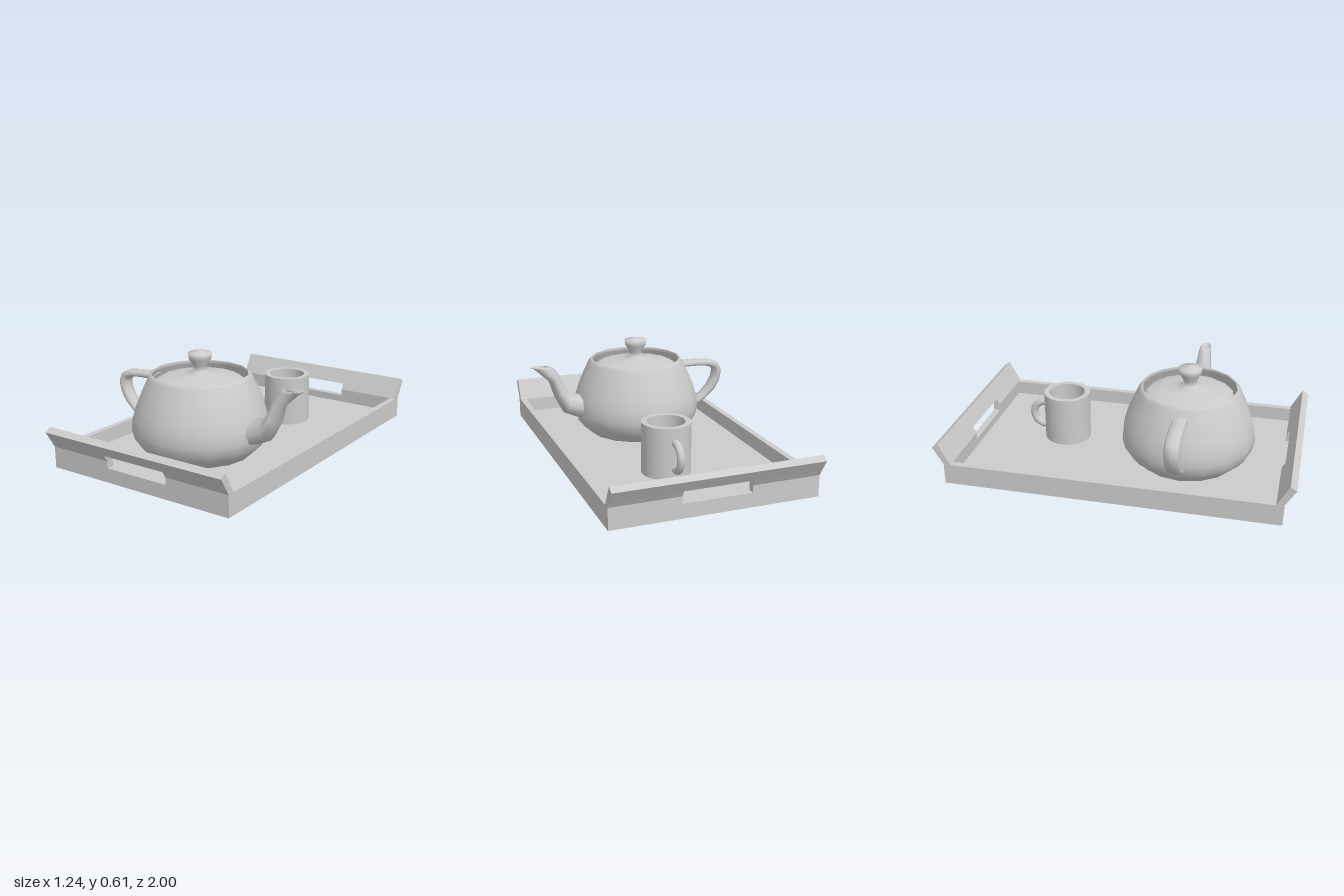
import * as THREE from 'three';
import { toCreasedNormals } from 'three/addons/utils/BufferGeometryUtils.js';

const material = new THREE.MeshStandardMaterial({ color: 0xcccccc });
const thinMaterial = new THREE.MeshStandardMaterial({ color: 0xcccccc, side: THREE.DoubleSide });

function add(parent, name, geometry, mat = material) {
  const mesh = new THREE.Mesh(geometry, mat);
  mesh.name = name;
  parent.add(mesh);
  return mesh;
}

// Samples a chain of cubic curves (neighbours share an end point).
function sampleChain(points, steps = 4) {
  const v = points.map(([x, y]) => new THREE.Vector2(x, y));
  const out = [v[0]];
  for (let i = 0; i + 3 < v.length; i += 3) {
    const curve = new THREE.CubicBezierCurve(v[i], v[i + 1], v[i + 2], v[i + 3]);
    out.push(...curve.getPoints(steps).slice(1));
  }
  return out;
}

// Hollow limb lofted between a top and a bottom curve, with a half width along the way.
function loft(top, bottom, widths, half = 4) {
  const tops = sampleChain(top);
  const bottoms = sampleChain(bottom);
  const ws = sampleChain(widths.map((w) => [w, 0]));
  const ring = half * 2;
  const positions = [];
  const index = [];
  tops.forEach((t, i) => {
    for (let j = 0; j < ring; j++) {
      const s = (j <= half ? j : ring - j) / half;
      const blend = s * s * (3 - 2 * s);
      const p = t.clone().lerp(bottoms[i], blend);
      const z = 3 * s * (1 - s) * ws[i].x * (j <= half ? 1 : -1);
      positions.push(p.x, p.y, z);
    }
  });
  for (let i = 0; i < tops.length - 1; i++) {
    for (let j = 0; j < ring; j++) {
      const a = i * ring + j;
      const b = i * ring + ((j + 1) % ring);
      index.push(a, b, a + ring, b, b + ring, a + ring);
    }
  }
  const g = new THREE.BufferGeometry();
  g.setAttribute('position', new THREE.Float32BufferAttribute(positions, 3));
  g.setIndex(index);
  g.computeVertexNormals();
  return g;
}

// Extrudes a (z, y) profile along x.
function prism(profile, x0, x1) {
  const shape = new THREE.Shape(profile.map(([z, y]) => new THREE.Vector2(z, y)));
  const g = new THREE.ExtrudeGeometry(shape, { depth: x1 - x0, bevelEnabled: false });
  return g.rotateY(-Math.PI / 2).translate(x1, 0, 0);
}

function createTray() {
  const tray = new THREE.Group();
  tray.name = 'tray';
  const hw = 0.577, slot = 0.193, wall = 0.036;
  add(tray, 'trayFloor', new THREE.BoxGeometry(2 * hw - 2 * wall, 0.036, 1.8).translate(0, 0.018, 0));
  for (const s of [-1, 1]) {
    add(tray, s > 0 ? 'leftWall' : 'rightWall',
      new THREE.BoxGeometry(wall, 0.12, 1.8).translate(s * (hw - wall / 2), 0.06, 0));
  }
  // Flared end walls, with a grip slot across the bend.
  const lower = [[0.9, 0], [0.94, 0], [0.94, 0.08], [0.9, 0.08]];
  const middle = [[0.9, 0.08], [0.94, 0.08], [0.94, 0.12], [0.961, 0.155], [0.919, 0.155], [0.9, 0.12]];
  const upper = [[0.919, 0.155], [0.961, 0.155], [1, 0.218], [0.965, 0.24]];
  for (const side of ['front', 'back']) {
    const end = new THREE.Group();
    end.name = side + 'Wall';
    add(end, 'wallBase', prism(lower, -hw, hw));
    add(end, 'slotSide', prism(middle, -hw, -slot));
    add(end, 'slotSide', prism(middle, slot, hw));
    add(end, 'wallTop', prism(upper, -hw, hw));
    if (side === 'back') end.rotation.y = Math.PI;
    tray.add(end);
  }
  tray.position.x = -0.0125;
  return tray;
}

function createTeapot() {
  const pot = new THREE.Group();
  pot.name = 'teapot';
  const body = sampleChain([[1.5, 0.15], [1.5, 0.225], [2, 0.45], [2, 0.9], [2, 1.35], [1.75, 1.875],
    [1.5, 2.4], [1.4375, 2.531], [1.3375, 2.531], [1.4, 2.4]]);
  add(pot, 'potBody', new THREE.LatheGeometry(body, 16), thinMaterial);
  const lid = sampleChain([[1.3, 2.25], [1.3, 2.4], [0.4, 2.4], [0.2, 2.55], [0, 2.7], [0.8, 3.15], [0, 3.15]]);
  add(pot, 'lid', new THREE.LatheGeometry(lid, 16), thinMaterial);
  add(pot, 'potHandle', loft(
    [[-1.5, 2.25], [-2.5, 2.25], [-3, 2.25], [-3, 1.8], [-3, 1.35], [-2.65, 0.9375], [-1.9, 0.6]],
    [[-1.6, 2.025], [-2.3, 2.025], [-2.7, 2.025], [-2.7, 1.8], [-2.7, 1.575], [-2.5, 1.125], [-2, 0.9]],
    Array(7).fill(-0.3)), thinMaterial);
  add(pot, 'spout', loft(
    [[1.7, 1.425], [2.6, 1.425], [2.3, 2.1], [2.7, 2.4], [2.8, 2.475], [2.9, 2.475], [2.8, 2.4]],
    [[1.7, 0.6], [3.1, 0.825], [2.4, 2.025], [3.3, 2.4], [3.525, 2.494], [3.45, 2.512], [3.2, 2.4]],
    [0.66, 0.66, 0.25, 0.25, 0.25, 0.15, 0.15]), thinMaterial);
  pot.scale.setScalar(0.193);
  pot.position.set(-0.044, 0.007, 0.348);
  return pot;
}

function createCup() {
  const cup = new THREE.Group();
  cup.name = 'cup';
  const profile = [[0, 0.036], [0.137, 0.036], [0.137, 0.325], [0.105, 0.325], [0.105, 0.068], [0, 0.068]]
    .map(([x, y]) => new THREE.Vector2(x, y));
  add(cup, 'cupBody', toCreasedNormals(new THREE.LatheGeometry(profile, 32), 0.6));
  // C-shaped handle pointing to the back.
  const path = new THREE.CatmullRomCurve3([[0.243, -0.12], [0.24, -0.158], [0.217, -0.195], [0.17, -0.213],
    [0.122, -0.198], [0.096, -0.16], [0.093, -0.12]].map(([y, z]) => new THREE.Vector3(0, y, z)));
  add(cup, 'cupHandle', new THREE.TubeGeometry(path, 24, 0.022, 12), thinMaterial);
  cup.position.set(0.054, 0, -0.409);
  return cup;
}

export function createModel() {
  const model = new THREE.Group();
  model.name = 'teaTray';
  model.add(createTray(), createTeapot(), createCup());
  return model;
}
